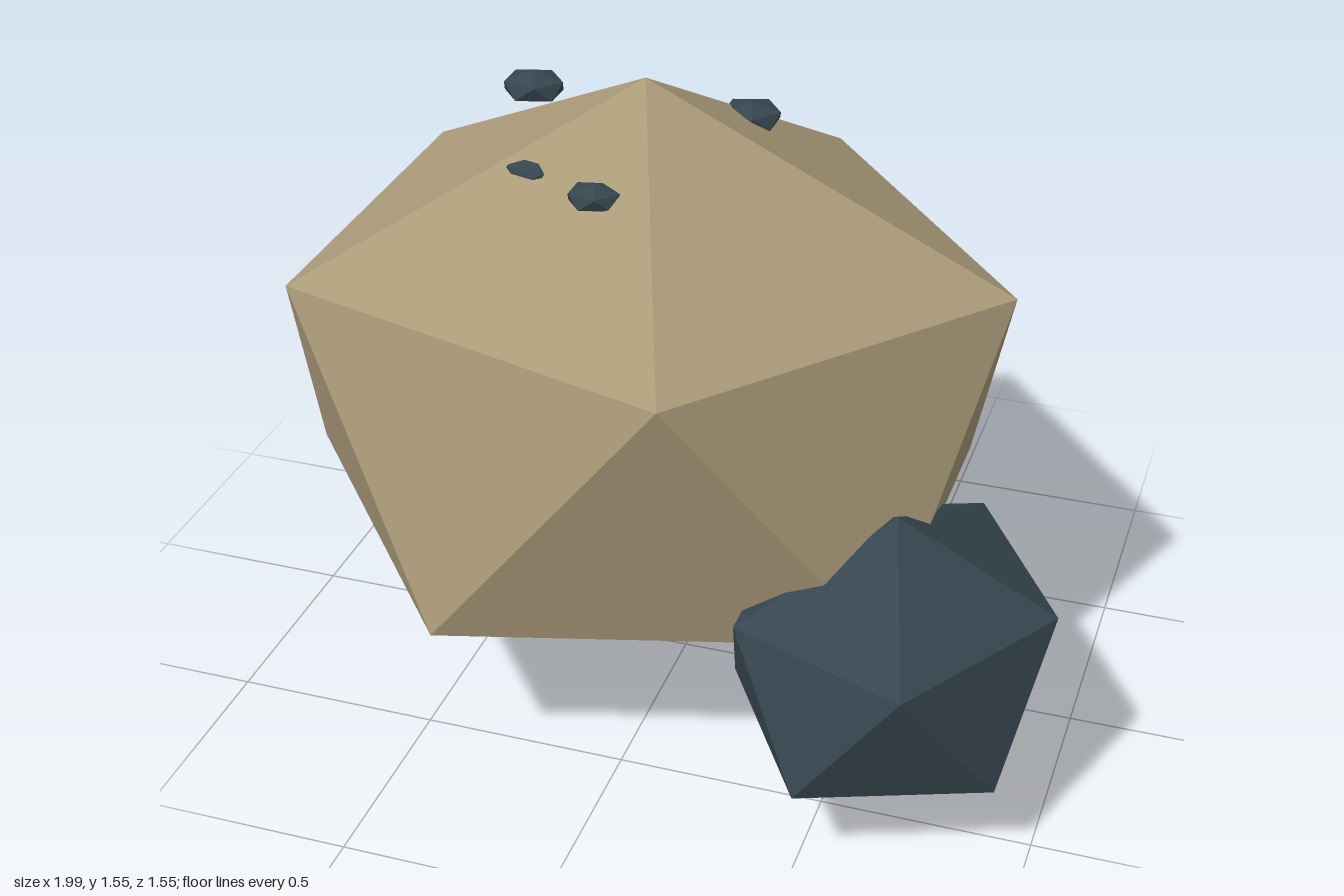
import * as THREE from 'three';

// Squashed icosahedron with points at top and bottom and an upper-ring corner on +x
function rock(name, material, position, scale) {
  const golden = (1 + Math.sqrt(5)) / 2;
  const geometry = new THREE.IcosahedronGeometry(1, 0);
  geometry.rotateX(-Math.atan(golden));
  geometry.rotateY(Math.PI / 2);
  geometry.scale(...scale);
  geometry.computeVertexNormals();
  const mesh = new THREE.Mesh(geometry, material);
  mesh.name = name;
  mesh.position.set(...position);
  return mesh;
}

export function createModel() {
  const sandstone = new THREE.MeshStandardMaterial({ color: 0xa99a78, flatShading: true });
  sandstone.name = 'sandstone';
  const slate = new THREE.MeshStandardMaterial({ color: 0x36454f, flatShading: true });
  slate.name = 'slate';

  const model = new THREE.Group();
  model.name = 'boulders';

  // Main boulder and the smaller one leaning into it
  model.add(rock('largeBoulder', sandstone, [-0.107, 0.777, -0.03], [0.998, 0.773, 0.875]));
  model.add(rock('smallBoulder', slate, [0.617, 0.38, 0.348], [0.423, 0.35, 0.497]));

  // Pebbles half sunk into the top of the main boulder
  const pebbles = new THREE.Group();
  pebbles.name = 'pebbles';
  [
    [[-0.507, 1.357, -0.335], [0.087, 0.042, 0.076]],
    [[-0.143, 1.362, -0.32], [0.075, 0.035, 0.064]],
    [[0.06, 1.36, -0.322], [0.083, 0.037, 0.082]],
    [[-0.137, 1.367, 0.243], [0.07, 0.033, 0.06]],
    [[-0.31, 1.36, 0.135], [0.089, 0.04, 0.078]],
  ].forEach(([position, scale], i) => pebbles.add(rock(`pebble${i + 1}`, slate, position, scale)));
  model.add(pebbles);

  return model;
}
